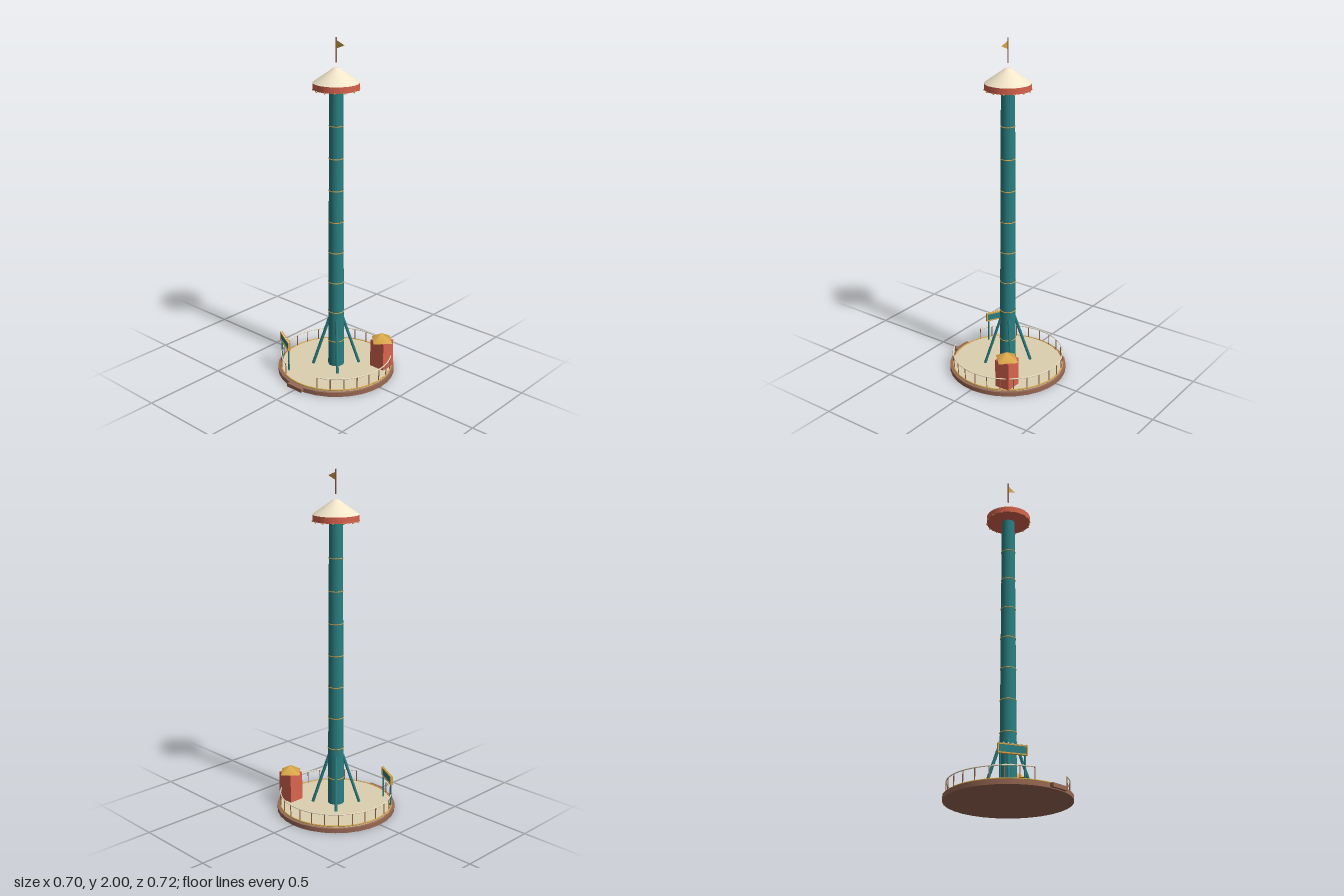
import * as THREE from 'three';

const mat = (color, side = THREE.FrontSide) => new THREE.MeshStandardMaterial({ color, side });
const teal = mat(0x2a7f82), coral = mat(0xd9644e), cream = mat(0xf2e6ca);
const deckTan = mat(0xdcd0b0), gold = mat(0xd9a648), brown = mat(0x9a6854);
const goldSheet = mat(0xd9a648, THREE.DoubleSide);

function add(parent, name, geometry, material, x = 0, y = 0, z = 0) {
  const mesh = new THREE.Mesh(geometry, material);
  mesh.name = name;
  mesh.position.set(x, y, z);
  parent.add(mesh);
  return mesh;
}

// Upright cylinder between two heights
function column(parent, name, rTop, rBottom, y0, y1, sides, material, x = 0, z = 0) {
  return add(parent, name, new THREE.CylinderGeometry(rTop, rBottom, y1 - y0, sides), material, x, (y0 + y1) / 2, z);
}

// Slanted cylinder between two points
function strut(parent, name, a, b, r, material) {
  const mesh = add(parent, name, new THREE.CylinderGeometry(r, r, a.distanceTo(b), 6), material);
  mesh.position.copy(a).lerp(b, 0.5);
  mesh.quaternion.setFromUnitVectors(new THREE.Vector3(0, 1, 0), b.clone().sub(a).normalize());
  return mesh;
}

// Horizontal ring; arc is measured from +x
function ring(parent, name, radius, tube, y, material, segments = 32, arc = Math.PI * 2, start = 0) {
  const geometry = new THREE.TorusGeometry(radius, tube, 6, segments, arc);
  geometry.rotateX(Math.PI / 2);
  geometry.rotateY(-start);
  return add(parent, name, geometry, material, 0, y, 0);
}

function buildPlatform() {
  const g = new THREE.Group();
  g.name = 'platform';
  column(g, 'base', 0.35, 0.35, 0, 0.026, 32, brown);
  column(g, 'deck', 0.335, 0.335, 0.026, 0.034, 32, deckTan);
  ring(g, 'deckTrim', 0.333, 0.004, 0.034, gold);
  add(g, 'entranceStep', new THREE.BoxGeometry(0.112, 0.022, 0.06), brown, 0, 0.015, 0.336);
  return g;
}

// Railing left open at the front
function buildRailing() {
  const g = new THREE.Group();
  g.name = 'railing';
  const radius = 0.33, gap = 0.39, posts = 24;
  const start = Math.PI / 2 + gap, arc = Math.PI * 2 - gap * 2;
  ring(g, 'handrail', radius, 0.0035, 0.104, cream, 48, arc, start);
  for (let i = 0; i < posts; i++) {
    const a = start + arc * i / (posts - 1);
    column(g, 'railPost', 0.003, 0.003, 0.032, 0.104, 6, brown, Math.cos(a) * radius, Math.sin(a) * radius);
  }
  return g;
}

function buildTower() {
  const g = new THREE.Group();
  g.name = 'tower';
  column(g, 'shaft', 0.039, 0.048, 0.03, 1.73, 20, teal);
  for (let i = 0; i < 8; i++) {
    const y = 0.195 + i * 0.188;
    ring(g, 'shaftBand', 0.048 - 0.009 * (y - 0.03) / 1.7, 0.003, y, gold, 20);
  }
  // Four diagonal braces around the foot
  for (let i = 0; i < 4; i++) {
    const a = Math.PI / 4 + i * Math.PI / 2;
    const at = (r, y) => new THREE.Vector3(Math.cos(a) * r, y, Math.sin(a) * r);
    strut(g, 'brace', at(0.138, 0.035), at(0.04, 0.335), 0.009, teal);
  }
  return g;
}

function buildCrown() {
  const g = new THREE.Group();
  g.name = 'crown';
  column(g, 'rim', 0.131, 0.131, 1.718, 1.753, 20, coral);
  column(g, 'roof', 0.014, 0.131, 1.753, 1.835, 20, cream);
  const bulb = new THREE.SphereGeometry(0.005, 8, 6);
  for (let i = 0; i < 14; i++) {
    const a = i * Math.PI * 2 / 14;
    add(g, 'rimBulb', bulb, gold, Math.cos(a) * 0.13, 1.717, Math.sin(a) * 0.13);
  }
  // Flagpole and pennant
  column(g, 'flagpole', 0.0035, 0.0035, 1.863, 2, 8, brown);
  const pennant = new THREE.Shape([
    new THREE.Vector2(0, 1.938), new THREE.Vector2(0.06, 1.962), new THREE.Vector2(0, 1.985)]);
  add(g, 'pennant', new THREE.ShapeGeometry(pennant), goldSheet);
  return g;
}

function buildBooth() {
  const g = new THREE.Group();
  g.name = 'ticketBooth';
  add(g, 'boothWalls', new THREE.BoxGeometry(0.1, 0.17, 0.093), coral, 0, 0.119, 0);
  add(g, 'boothRoof', new THREE.ConeGeometry(0.078, 0.045, 4), gold, 0, 0.225, 0);
  g.position.set(0.225, 0, -0.158);
  return g;
}

function buildSign() {
  const g = new THREE.Group();
  g.name = 'signBoard';
  add(g, 'panel', new THREE.BoxGeometry(0.156, 0.05, 0.01), teal, 0, 0.194, 0);
  for (const y of [0.171, 0.217]) add(g, 'frameRail', new THREE.BoxGeometry(0.162, 0.007, 0.015), gold, 0, y, 0);
  for (const s of [-1, 1]) {
    add(g, 'frameSide', new THREE.BoxGeometry(0.007, 0.05, 0.015), gold, s * 0.0775, 0.194, 0);
    column(g, 'signPost', 0.005, 0.005, 0.032, 0.172, 8, teal, s * 0.066, 0);
  }
  const bulb = new THREE.SphereGeometry(0.005, 8, 6);
  for (let i = -3; i <= 3; i++) add(g, 'signBulb', bulb, cream, i * 0.0248, 0.222, 0.005);
  g.position.set(-0.205, 0, 0.226);
  g.rotation.y = -0.49;
  return g;
}

export function createModel() {
  const model = new THREE.Group();
  model.name = 'observationTower';
  model.add(buildPlatform(), buildRailing(), buildTower(), buildCrown(), buildBooth(), buildSign());
  // Shift back so the step is included in the centring
  for (const part of model.children) part.position.z -= 0.009;
  return model;
}
